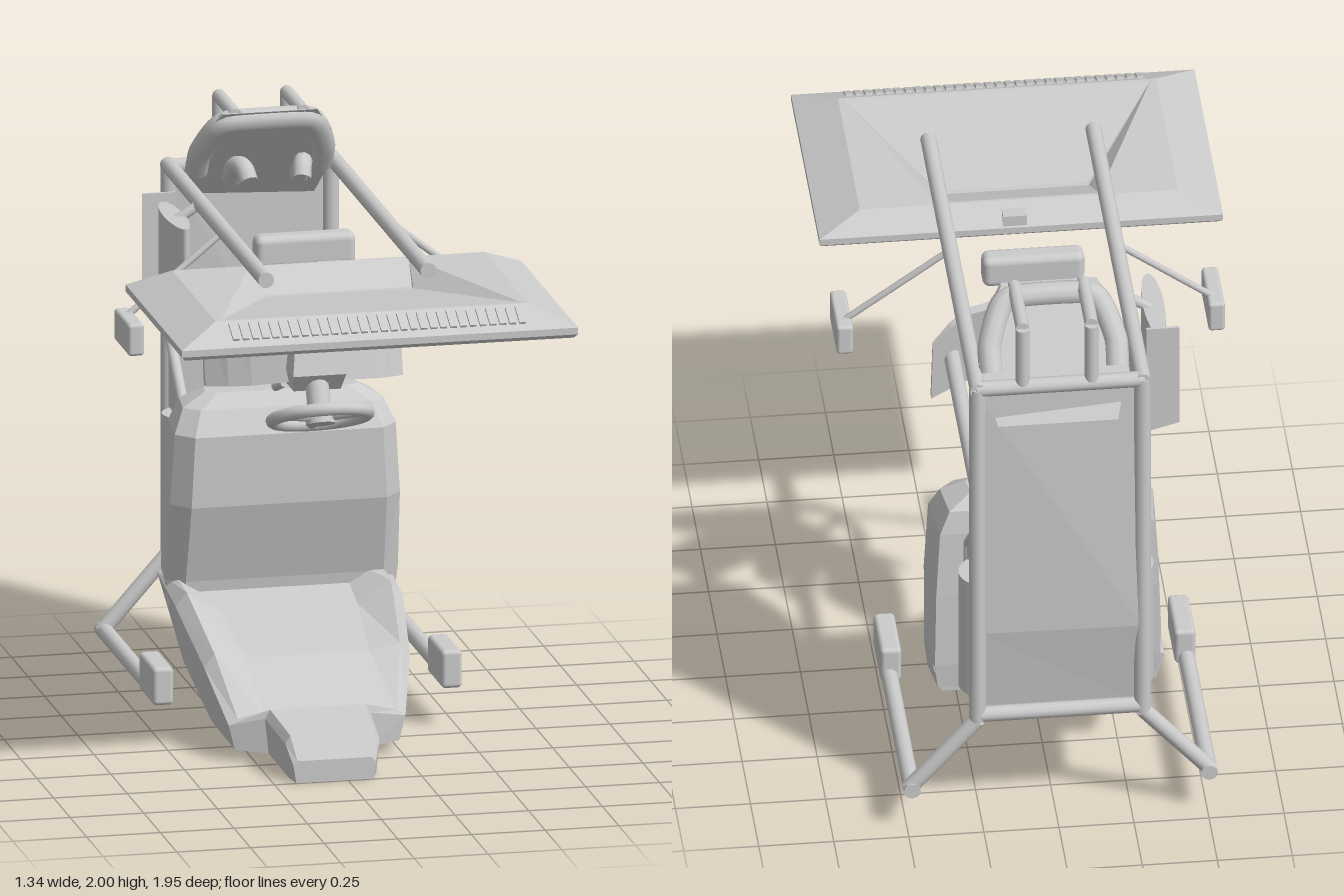
import * as THREE from 'three';
import { RoundedBoxGeometry } from 'three/addons/geometries/RoundedBoxGeometry.js';

const V = (a) => new THREE.Vector3(...a);
const smooth = new THREE.MeshStandardMaterial({ color: 0xcccccc });
const flat = new THREE.MeshStandardMaterial({ color: 0xcccccc, flatShading: true });

function add(parent, name, geo, mat = smooth, pos = [0, 0, 0]) {
  const m = new THREE.Mesh(geo, mat);
  m.name = name;
  m.position.set(...pos);
  parent.add(m);
  return m;
}

// Box given by its min and max corners, optionally rounded
function box(parent, name, a, b, r = 0) {
  const s = a.map((v, i) => Math.abs(b[i] - v)), c = a.map((v, i) => (v + b[i]) / 2);
  const geo = r ? new RoundedBoxGeometry(...s, 3, r) : new THREE.BoxGeometry(...s);
  return add(parent, name, geo, smooth, c);
}

// Straight bars with the given radius along a chain of points
function bars(parent, name, pts, r, sides = 12) {
  for (let i = 0; i + 1 < pts.length; i++) {
    const a = V(pts[i]), b = V(pts[i + 1]), d = b.clone().sub(a);
    const m = add(parent, name, new THREE.CylinderGeometry(r, r, d.length(), sides));
    m.position.copy(a).add(b).multiplyScalar(0.5);
    m.quaternion.setFromUnitVectors(new THREE.Vector3(0, 1, 0), d.normalize());
  }
}

// Closed solid through equal-length rings; winding is made outward by its volume
function loft(rings) {
  const n = rings[0].length, pos = rings.flat(2), idx = [], last = (rings.length - 1) * n;
  for (let r = 0; r + 1 < rings.length; r++) for (let i = 0; i < n; i++) {
    const a = r * n + i, b = r * n + (i + 1) % n;
    idx.push(a, b, b + n, a, b + n, a + n);
  }
  for (let i = 1; i + 1 < n; i++) idx.push(0, i + 1, i, last, last + i, last + i + 1);
  const P = (i) => new THREE.Vector3().fromArray(pos, i * 3);
  let vol = 0;
  for (let i = 0; i < idx.length; i += 3) vol += P(idx[i]).dot(P(idx[i + 1]).cross(P(idx[i + 2])));
  if (vol < 0) idx.reverse();
  const g = new THREE.BufferGeometry();
  g.setAttribute('position', new THREE.Float32BufferAttribute(pos, 3));
  g.setIndex(idx);
  g.computeVertexNormals();
  return g;
}

function seat(root) {
  const g = new THREE.Group();
  g.name = 'seat';
  root.add(g);
  // Cushion and footrest: z, centre x, half width, bottom, top, dip of the middle
  const base = [[0.495, -0.045, 0.14, 0.005, 0.08, 0], [0.44, -0.04, 0.16, 0.01, 0.155, 0], [0.22, -0.04, 0.18, 0.035, 0.185, 0],
    [0.185, -0.035, 0.3, 0.045, 0.15, 0], [-0.01, -0.025, 0.35, 0.095, 0.325, 0.02], [-0.33, -0.015, 0.385, 0.215, 0.45, 0.07],
    [-0.655, -0.005, 0.385, 0.345, 0.46, 0]];
  add(g, 'seatCushion', loft(base.map(([z, c, w, b, t, dip]) => {
    const m = t - (t - b) * 0.2;
    return [[c - w * 0.93, b, z], [c + w * 0.93, b, z], [c + w, m, z], [c + w * 0.9, t, z],
      [c + w * 0.6, t - dip, z], [c - w * 0.6, t - dip, z], [c - w * 0.9, t, z], [c - w, m, z]];
  })), flat);
  // Backrest: y, half width, front z, back z
  const back = [[0.36, 0.385, -0.47, -0.655], [0.45, 0.395, -0.46, -0.66], [0.72, 0.39, -0.39, -0.655], [0.96, 0.375, -0.39, -0.64],
    [1.04, 0.34, -0.44, -0.625], [1.085, 0.26, -0.49, -0.58]];
  add(g, 'backrest', loft(back.map(([y, w, f, b]) => {
    const m = f - (f - b) * 0.25;
    return [[-w * 0.85, y, f], [w * 0.85, y, f], [w, y, m], [w * 0.95, y, b], [-w * 0.95, y, b], [-w, y, m]];
  })), flat);
}

function frame(root) {
  const g = new THREE.Group();
  g.name = 'frame';
  g.position.x = -0.01;
  root.add(g);
  for (const s of [-1, 1]) {
    const x = s * 0.275;
    bars(g, 'post', [[x, 0.42, -0.942], [x, 1.75, -0.942]], 0.028);
    bars(g, 'roofRail', [[x, 1.747, -0.96], [x, 1.747, 0.53]], 0.027);
    bars(g, 'sideRail', [[x, 1.355, -0.94], [x, 1.355, -0.17]], 0.027);
    bars(g, 'sideTube', [[x, 1.17, -0.93], [x, 0.95, -0.68], [x, 0.44, -0.68], [x, 0.44, -0.93]], 0.018);
    // Splayed leg with a forward runner and pad
    bars(g, 'leg', [[x, 0.42, -0.942], [s * 0.505, 0.16, -0.942]], 0.027);
    bars(g, 'runner', [[s * 0.495, 0.165, -0.97], [s * 0.495, 0.165, -0.2]], 0.028);
    box(g, 'footPad', [s * 0.455, 0.14, -0.29], [s * 0.525, 0.27, -0.065], 0.015);
    // Panel closing the side of the rear bay
    add(g, 'sidePanel', loft([x - 0.008, x + 0.008].map((px) =>
      [[px, 0.44, -0.67], [px, 0.95, -0.67], [px, 1.17, -0.93], [px, 0.44, -0.93]])), flat);
    // Upright tank bulging through the panel
    add(g, 'rearTank', new THREE.CylinderGeometry(0.09, 0.09, 0.45, 28), smooth, [s * 0.235, 0.705, -0.82]);
  }
  for (const y of [0.44, 1.745]) bars(g, 'crossbar', [[-0.28, y, -0.942], [0.28, y, -0.942]], 0.027);
  // Folded rear panel: y, z on the right and left edges
  add(g, 'rearPanel', loft([[0.43, -0.915, -0.915], [0.77, -0.965, -0.955], [1.72, -0.935, -0.955]].map(([y, a, b]) =>
    [[-0.27, y, a], [0.27, y, b], [0.27, y, b + 0.015], [-0.27, y, a + 0.015]])), flat);
  box(g, 'rearBayFloor', [-0.27, 0.42, -0.94], [0.27, 0.44, -0.67]);
}

function canopy(root) {
  const g = new THREE.Group();
  g.name = 'canopy';
  root.add(g);
  // Horizontal ring: back half width and z, front half width and z, height
  const ring = (wb, zb, wf, zf, y) => [[-wb, y, zb], [wb, y, zb], [wf, y, zf], [-wf, y, zf]];
  // Slab with a raised deck and a sunken middle that narrows to the back
  add(g, 'canopyShell', loft([ring(0.66, 0.14, 0.66, 0.97, 1.612), ring(0.672, 0.125, 0.672, 0.98, 1.625),
    ring(0.672, 0.125, 0.672, 0.98, 1.648), ring(0.53, 0.2, 0.53, 0.855, 1.708), ring(0.27, 0.21, 0.51, 0.845, 1.708),
    ring(0.25, 0.35, 0.25, 0.37, 1.645)]), flat);
  // Row of louvres on the front slope
  for (let i = 0; i < 30; i++) {
    const m = add(g, 'louvre', new THREE.BoxGeometry(0.022, 0.012, 0.082), smooth, [-0.48 + i * 0.0335, 1.683, 0.912]);
    m.rotation.x = 0.46;
  }
  box(g, 'canopyBracket', [-0.02, 1.62, 0.13], [0.06, 1.69, 0.18]);
}

function hood(root) {
  const g = new THREE.Group();
  g.name = 'upperHoop';
  root.add(g);
  const zAt = (y) => -0.68 - (1.985 - y) * 0.73;
  // Slanted plate: y, half width
  add(g, 'slantedPlate', loft([[1.985, 0.16], [1.9, 0.22], [1.78, 0.25], [1.61, 0.2]].map(([y, w]) =>
    [[-w, y, zAt(y)], [w, y, zAt(y)], [w, y, zAt(y) - 0.02], [-w, y, zAt(y) - 0.02]])), flat);
  const path = [[-0.21, 1.75], [-0.21, 1.82], [-0.18, 1.9], [-0.13, 1.95], [0.13, 1.95], [0.18, 1.9], [0.21, 1.82], [0.21, 1.75]];
  const curve = new THREE.CatmullRomCurve3(path.map(([x, y]) => V([x, y, zAt(y) - 0.01])), false, 'catmullrom', 0.3);
  add(g, 'hoopTube', new THREE.TubeGeometry(curve, 48, 0.04, 10));
  for (const s of [-1, 1]) {
    const x = s * 0.115;
    bars(g, 'hoopStay', [[x, 1.977, -0.69], [x, 1.977, -0.945], [x, 1.76, -0.945]], 0.023);
    const elbow = new THREE.CatmullRomCurve3([[x, 1.74, -0.76], [x, 1.8, -0.7], [s * 0.1, 1.81, -0.64], [s * 0.09, 1.77, -0.605]].map(V));
    add(g, 'elbow', new THREE.TubeGeometry(elbow, 14, 0.032, 10));
  }
}

function controls(root) {
  const g = new THREE.Group();
  g.name = 'controls';
  root.add(g);
  // Cowl wings sweeping back to each side: x, bottom, top, front z, back z
  for (const s of [-1, 1]) {
    add(g, 'cowlWing', loft([[0.06, 1.24, 1.52, -0.02, -0.08], [0.2, 1.22, 1.515, -0.07, -0.12], [0.27, 1.21, 1.49, -0.11, -0.155],
      [0.335, 1.2, 1.45, -0.165, -0.19]].map(([x, b, t, f, k]) =>
      [[s * x, b, f], [s * x, t, f - 0.06], [s * x, t, k - 0.05], [s * x, b, k]])), flat);
    const x = s * 0.07;
    bars(g, 'columnBracket', [[x, 1.2, -0.15], [x, 1.15, -0.285], [x, 1.2, -0.295], [x, 1.34, -0.26], [x, 1.36, -0.12]], 0.014, 8);
  }
  bars(g, 'bracketTie', [[-0.09, 1.33, -0.26], [0.09, 1.33, -0.26]], 0.02);
  box(g, 'columnMount', [-0.06, 1.24, -0.24], [0.06, 1.34, -0.14]);
  // Tapered centre console: y, half width, front z, back z
  add(g, 'console', loft([[1.22, 0.08, 0.03, -0.13], [1.28, 0.09, 0.07, -0.14], [1.49, 0.06, 0.0, -0.15], [1.53, 0.05, -0.09, -0.14]]
    .map(([y, w, f, b]) => [[-w, y, f], [w, y, f], [w, y, b], [-w, y, b]])), flat);
  bars(g, 'steeringColumn', [[0, 1.14, 0.075], [0, 1.36, -0.03]], 0.04);
  // Tilted steering wheel
  const w = new THREE.Group();
  w.name = 'steeringWheel';
  w.position.set(0, 1.14, 0.075);
  w.rotation.x = -1.995;
  g.add(w);
  add(w, 'wheelRim', new THREE.TorusGeometry(0.16, 0.022, 10, 36));
  bars(w, 'wheelHub', [[0, 0, -0.025], [0, 0, 0.03]], 0.05, 16);
  for (let i = 0; i < 3; i++) {
    const a = Math.PI / 2 + i * Math.PI * 2 / 3;
    bars(w, 'wheelSpoke', [[0, 0, 0], [0.16 * Math.cos(a), 0.16 * Math.sin(a), 0]], 0.018, 8);
  }
}

function accessories(root) {
  // Outrigger pads hung from the roof rails
  for (const s of [-1, 1]) {
    box(root, 'outerPad', [s * 0.592, 1.38, -0.165], [s * 0.647, 1.49, 0.06], 0.012);
    bars(root, 'outerArm', [[s * 0.28, 1.74, -0.13], [s * 0.625, 1.47, -0.1]], 0.012, 8);
  }
  box(root, 'crossRoll', [-0.18, 1.608, -0.165], [0.16, 1.72, -0.085], 0.025);
  // Curved side shield with its rear plate and hanger
  const shield = new THREE.CylinderGeometry(0.18, 0.18, 0.32, 24);
  shield.scale(0.2, 1, 1);
  add(root, 'sideShield', shield, smooth, [-0.375, 1.55, -0.46]);
  add(root, 'shieldPlate', loft([-0.65, -0.64].map((z) =>
    [[-0.44, 1.36, z], [-0.33, 1.33, z], [-0.33, 1.74, z], [-0.44, 1.74, z]])), flat);
  bars(root, 'shieldHanger', [[-0.285, 1.747, -0.46], [-0.375, 1.69, -0.46]], 0.018, 8);
}

export function createModel() {
  const root = new THREE.Group();
  root.name = 'machine';
  for (const build of [seat, frame, canopy, hood, controls, accessories]) build(root);
  return root;
}
